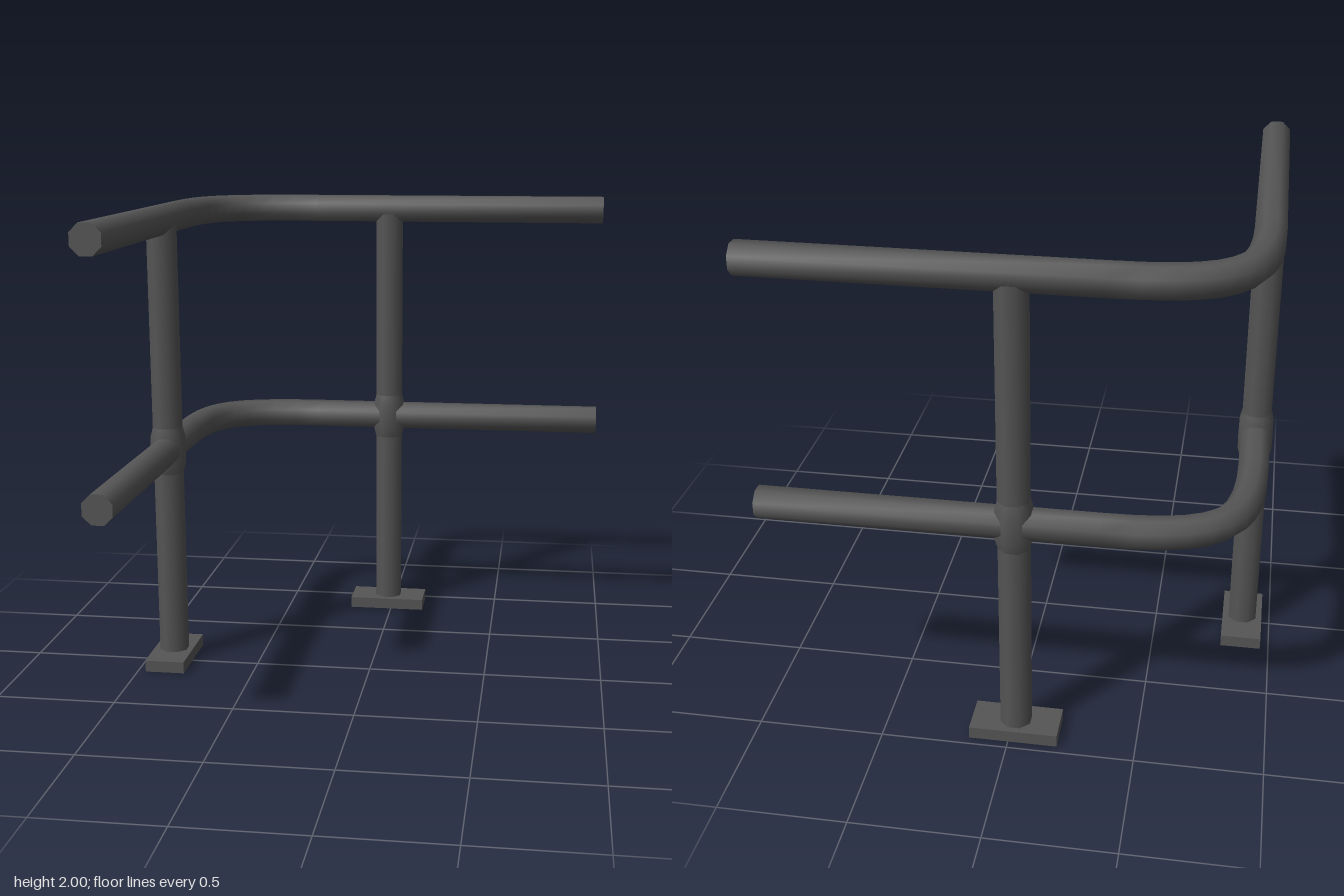
import * as THREE from 'three';

const SIDES = 8;
const APOTHEM = 0.059;
const toRadius = (apothem) => apothem / Math.cos(Math.PI / SIDES);
const LINE = -0.88;   // line the rails run along, on both x and z
const POST = -0.02;   // post position along each run
const END = 0.965;    // free ends of the rails

// Level path: straight run, soft corner, straight run
function railPath() {
  const corner = new THREE.CubicBezierCurve3(
    new THREE.Vector3(LINE, 0, -0.35), new THREE.Vector3(LINE, 0, -0.777),
    new THREE.Vector3(-0.777, 0, LINE), new THREE.Vector3(-0.35, 0, LINE));
  const stops = [{ p: new THREE.Vector3(LINE, 0, END), t: new THREE.Vector3(0, 0, -1) }];
  const steps = 10;
  for (let i = 0; i <= steps; i++) {
    stops.push({ p: corner.getPoint(i / steps), t: corner.getTangent(i / steps) });
  }
  stops.push({ p: new THREE.Vector3(END, 0, LINE), t: new THREE.Vector3(1, 0, 0) });
  return stops;
}

// Octagonal pipe with flat top and sides, swept along the path and capped
function railGeometry() {
  const stops = railPath();
  const up = new THREE.Vector3(0, 1, 0);
  const r = toRadius(APOTHEM);
  const positions = [], index = [];
  const addRing = ({ p, t }) => {
    const side = new THREE.Vector3().crossVectors(up, t).normalize();
    for (let j = 0; j < SIDES; j++) {
      const a = (j + 0.5) / SIDES * Math.PI * 2;
      const v = p.clone().addScaledVector(side, r * Math.cos(a)).addScaledVector(up, r * Math.sin(a));
      positions.push(v.x, v.y, v.z);
    }
  };
  stops.forEach(addRing);
  for (let i = 0; i < stops.length - 1; i++) {
    for (let j = 0; j < SIDES; j++) {
      const k = (j + 1) % SIDES;
      const a = i * SIDES + j, b = i * SIDES + k;
      index.push(a, b, a + SIDES, b, b + SIDES, a + SIDES);
    }
  }
  // end caps on their own vertices, so their edges stay sharp
  const first = stops.length * SIDES, last = first + SIDES;
  addRing(stops[0]);
  addRing(stops[stops.length - 1]);
  for (let j = 1; j < SIDES - 1; j++) {
    index.push(first, first + j + 1, first + j);
    index.push(last, last + j, last + j + 1);
  }
  const g = new THREE.BufferGeometry();
  g.setAttribute('position', new THREE.Float32BufferAttribute(positions, 3));
  g.setIndex(index);
  g.computeVertexNormals();
  return g;
}

// Rim under the foot plate, leaving the underside hollow
function footRimGeometry(w, d, h, rim) {
  const rect = (Type, x, z) => {
    const s = new Type();
    s.moveTo(-x, -z);
    s.lineTo(x, -z);
    s.lineTo(x, z);
    s.lineTo(-x, z);
    s.closePath();
    return s;
  };
  const shape = rect(THREE.Shape, w / 2, d / 2);
  shape.holes.push(rect(THREE.Path, w / 2 - rim, d / 2 - rim));
  return new THREE.ExtrudeGeometry(shape, { depth: h, bevelEnabled: false }).rotateX(-Math.PI / 2);
}

export function createModel() {
  const model = new THREE.Group();
  model.name = 'cornerRailing';
  const steel = new THREE.MeshStandardMaterial({ color: 0x555555 });
  steel.name = 'darkGreySteel';

  const add = (parent, name, geometry, y = 0) => {
    const mesh = new THREE.Mesh(geometry, steel);
    mesh.name = name;
    mesh.position.y = y;
    parent.add(mesh);
    return mesh;
  };

  // Handrail and middle rail
  const rail = railGeometry();
  add(model, 'topRail', rail, 1.94);
  add(model, 'middleRail', rail, 0.957);

  // Shared post parts
  const turn = Math.PI / SIDES;
  const r = toRadius(APOTHEM);
  const pipe = new THREE.CylinderGeometry(r, r, 1.91, SIDES).rotateY(turn);
  const collarProfile = [[0.058, -0.105], [0.069, -0.06], [0.07, 0], [0.069, 0.06], [0.058, 0.105]]
    .map(([x, y]) => new THREE.Vector2(toRadius(x), y));
  const collar = new THREE.LatheGeometry(collarProfile, SIDES, turn);
  const plate = new THREE.BoxGeometry(0.35, 0.02, 0.17);
  const rim = footRimGeometry(0.35, 0.17, 0.03, 0.022);

  const addPost = (name, x, z, rotation) => {
    const post = new THREE.Group();
    post.name = name;
    add(post, 'postPipe', pipe, 0.965);
    add(post, 'jointCollar', collar, 0.957);
    add(post, 'footPlate', plate, 0.04);
    add(post, 'footRim', rim);
    post.position.set(x, 0, z);
    post.rotation.y = rotation;
    model.add(post);
  };
  addPost('backPost', POST, LINE, 0);
  addPost('sidePost', LINE, POST, Math.PI / 2);

  return model;
}
